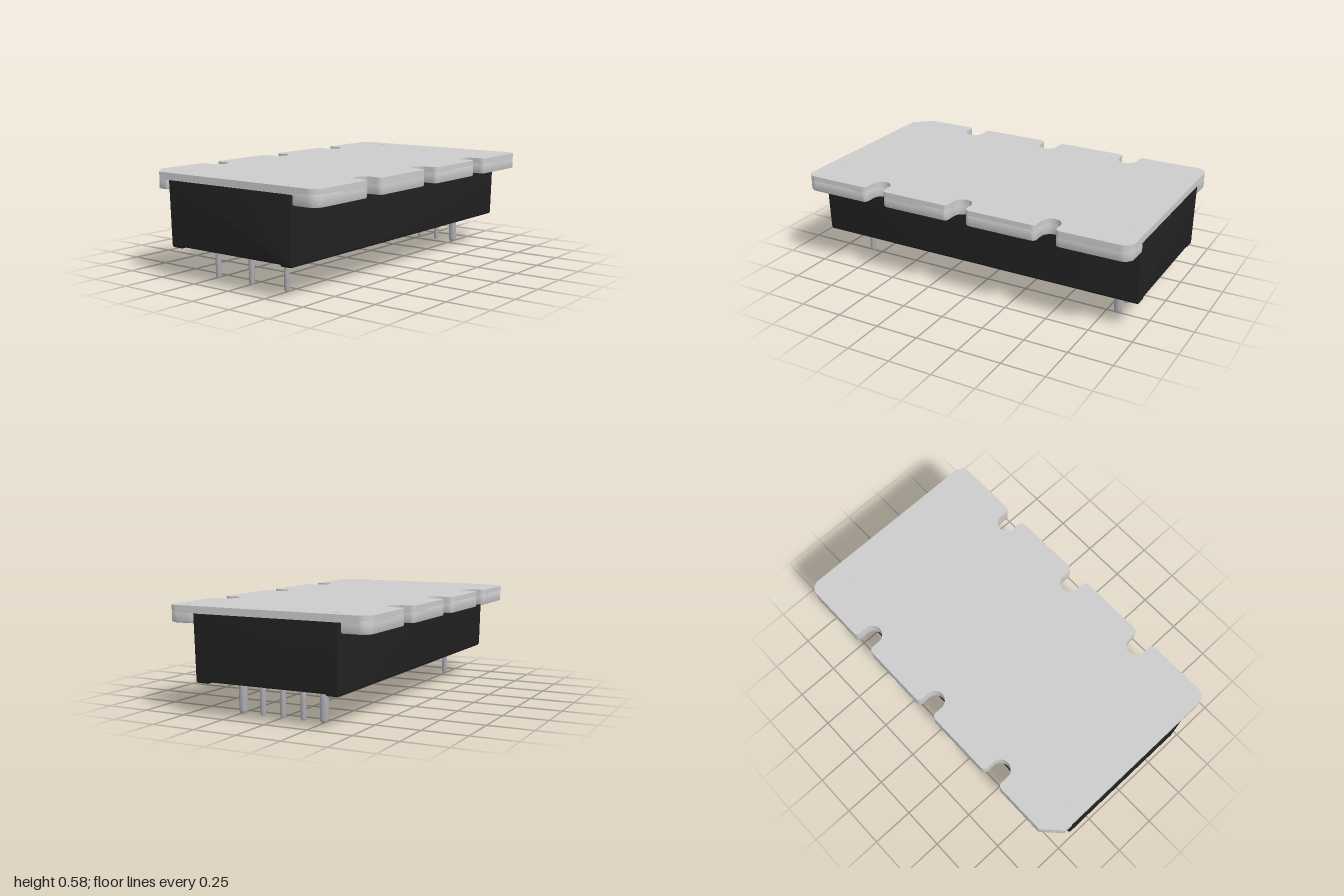
import * as THREE from 'three';
import { toCreasedNormals } from 'three/addons/utils/BufferGeometryUtils.js';

const EDGE = 0.59;    // half depth of the plate
const CORNER = 0.06;  // rounded plate corners
const NOTCHES = [0.53, 0, -0.53];

const plateMat = new THREE.MeshStandardMaterial({ color: 0xcccccc });
plateMat.name = 'light metal';
const bodyMat = new THREE.MeshStandardMaterial({ color: 0x222222 });
bodyMat.name = 'black plastic';
const pinMat = new THREE.MeshStandardMaterial({ color: 0xb2b2b8 });
pinMat.name = 'pin metal';

function addMesh(parent, name, geometry, material) {
  const mesh = new THREE.Mesh(toCreasedNormals(geometry, 0.5), material);
  mesh.name = name;
  parent.add(mesh);
  return mesh;
}

// Long notched edge, running from x = 1 to x = -1 and starting at depth `inner`
function notchedEdge(inner, chamfered) {
  const w = 0.055, f = 0.03, arcY = 0.465 + w;
  const p = new THREE.Path();
  p.moveTo(1, inner);
  p.lineTo(1, EDGE - CORNER);
  p.absarc(1 - CORNER, EDGE - CORNER, CORNER, 0, Math.PI / 2, false);
  for (const c of NOTCHES) {
    p.lineTo(c + w + f, EDGE);
    p.quadraticCurveTo(c + w, EDGE, c + w, EDGE - f);
    p.lineTo(c + w, arcY);
    p.absarc(c, arcY, w, 0, -Math.PI, true);
    p.lineTo(c - w, EDGE - f);
    p.quadraticCurveTo(c - w, EDGE, c - w - f, EDGE);
  }
  if (chamfered) {
    p.lineTo(-0.9, EDGE);
    p.lineTo(-1, EDGE - 0.095);
  } else {
    p.lineTo(-1 + CORNER, EDGE);
    p.absarc(-1 + CORNER, EDGE - CORNER, CORNER, Math.PI / 2, Math.PI, false);
  }
  p.lineTo(-1, inner);
  return p.getPoints(10);
}

const mirrored = (pts) => pts.map((p) => new THREE.Vector2(p.x, -p.y)).reverse();

// Extrude a plan outline upwards from y0 to y1, with optional edge bevel
function slab(points, y0, y1, bevel = 0) {
  const g = new THREE.ExtrudeGeometry(new THREE.Shape(points), {
    depth: y1 - y0 - 2 * bevel, bevelEnabled: bevel > 0, bevelThickness: bevel,
    bevelSize: bevel, bevelOffset: -bevel, bevelSegments: 2,
  });
  return g.rotateX(-Math.PI / 2).translate(0, y0 + bevel, 0);
}

// Housing: end profile swept along x, with a shallow channel underneath
function housingGeometry() {
  const s = new THREE.Shape();
  const w = 0.43, b = 0.175, r = 0.018, bevel = 0.012;
  s.moveTo(w, 0.56);
  s.lineTo(-w, 0.56);
  s.lineTo(-w, b + r);
  s.quadraticCurveTo(-w, b, -w + r, b);
  s.lineTo(-0.36, b);
  s.lineTo(-0.35, b + 0.009);
  s.lineTo(0.35, b + 0.009);
  s.lineTo(0.36, b);
  s.lineTo(w - r, b);
  s.quadraticCurveTo(w, b, w, b + r);
  const length = 1.996;
  const g = new THREE.ExtrudeGeometry(s, {
    depth: length - 2 * bevel, bevelThickness: bevel, bevelSize: bevel,
    bevelOffset: -bevel, bevelSegments: 3, curveSegments: 6,
  });
  g.translate(0, 0, -length / 2 + bevel).rotateY(Math.PI / 2);
  // slight draft: narrower towards the bottom
  const pos = g.attributes.position;
  for (let i = 0; i < pos.count; i++) {
    const t = (0.56 - pos.getY(i)) / 0.385;
    pos.setX(i, pos.getX(i) * (1 - 0.006 * t));
    pos.setZ(i, pos.getZ(i) * (1 - 0.018 * t));
  }
  return g;
}

function pinGeometry(r) {
  const profile = [[0, 0], [r * 0.7, 0], [r, 0.015], [r, 0.2]];
  return new THREE.LatheGeometry(profile.map(([x, y]) => new THREE.Vector2(x, y)), 20);
}

export function createModel() {
  const model = new THREE.Group();
  model.name = 'powerModule';

  addMesh(model, 'housing', housingGeometry(), bodyMat);

  // Cover plate with thicker flanges along both long sides
  const plate = new THREE.Group();
  plate.name = 'coverPlate';
  model.add(plate);
  const outline = [...notchedEdge(0.3, true), ...mirrored(notchedEdge(0.3, false))];
  addMesh(plate, 'plateTop', slab(outline, 0.541, 0.58), plateMat);
  addMesh(plate, 'backFlange', slab(notchedEdge(0.44, true), 0.488, 0.56, 0.008), plateMat);
  addMesh(plate, 'frontFlange', slab(mirrored(notchedEdge(0.44, false)), 0.488, 0.56, 0.008), plateMat);

  // Flush peg ends near the plate corners
  for (const x of [-0.918, 0.918]) {
    for (const z of [-0.377, 0.377]) {
      const peg = addMesh(plate, 'pegEnd', new THREE.CylinderGeometry(0.028, 0.028, 0.004, 20), plateMat);
      peg.position.set(x, 0.5785, z);
    }
  }

  // Pins: five on the left end (outer two thicker), three on the right end
  const pins = new THREE.Group();
  pins.name = 'pins';
  model.add(pins);
  const thin = 0.016, thick = 0.023;
  for (const z of [-0.245, -0.1225, 0, 0.1225, 0.245]) {
    const outer = Math.abs(z) > 0.2;
    addMesh(pins, outer ? 'thickPin' : 'thinPin', pinGeometry(outer ? thick : thin), pinMat).position.set(0.815, 0, z);
  }
  for (const z of [-0.245, 0, 0.245]) {
    addMesh(pins, 'thinPin', pinGeometry(thin), pinMat).position.set(-0.82, 0, z);
  }
  return model;
}
